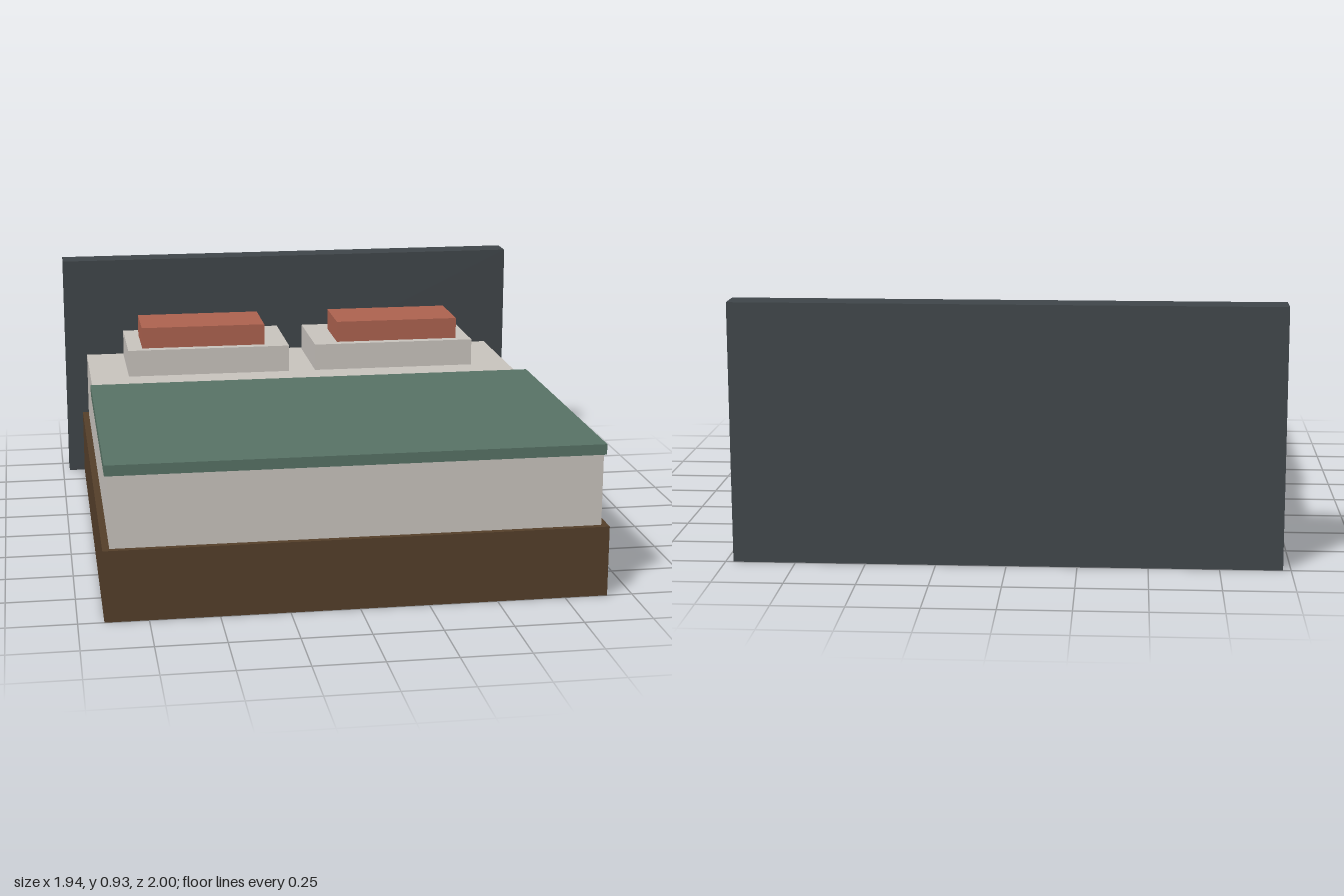
import * as THREE from 'three';

const paint = (name, color) => {
  const m = new THREE.MeshStandardMaterial({ color });
  m.name = name;
  return m;
};

// Box given by its [min, max] extents along each axis
function block(name, material, [x0, x1], [y0, y1], [z0, z1]) {
  const mesh = new THREE.Mesh(new THREE.BoxGeometry(x1 - x0, y1 - y0, z1 - z0), material);
  mesh.position.set((x0 + x1) / 2, (y0 + y1) / 2, (z0 + z1) / 2);
  mesh.name = name;
  return mesh;
}

export function createModel() {
  const wood = paint('brown wood', 0x553f2a);
  const slate = paint('slate upholstery', 0x40464a);
  const linen = paint('off-white linen', 0xcac5bf);
  const green = paint('green blanket', 0x587366);
  const rust = paint('rust fabric', 0xae6350);

  const bed = new THREE.Group();
  bed.name = 'bed';

  // Frame, headboard and bedding
  bed.add(
    block('bedBase', wood, [-0.907, 0.907], [0, 0.262], [-0.995, 1]),
    block('headboard', slate, [-0.972, 0.972], [0, 0.933], [-1, -0.89]),
    block('mattress', linen, [-0.882, 0.882], [0.262, 0.525], [-0.867, 0.977]),
    block('blanket', green, [-0.893, 0.893], [0.525, 0.564], [-0.165, 0.978]),
  );

  // A pillow with a cushion on top, on each side
  for (const [side, s] of [['left', 1], ['right', -1]]) {
    const span = (a, b) => (s > 0 ? [a, b] : [-b, -a]);
    bed.add(
      block(side + 'Pillow', linen, span(0.055, 0.725), [0.525, 0.634], [-0.835, -0.442]),
      block(side + 'Cushion', rust, span(0.154, 0.665), [0.634, 0.72], [-0.742, -0.48]),
    );
  }
  return bed;
}
